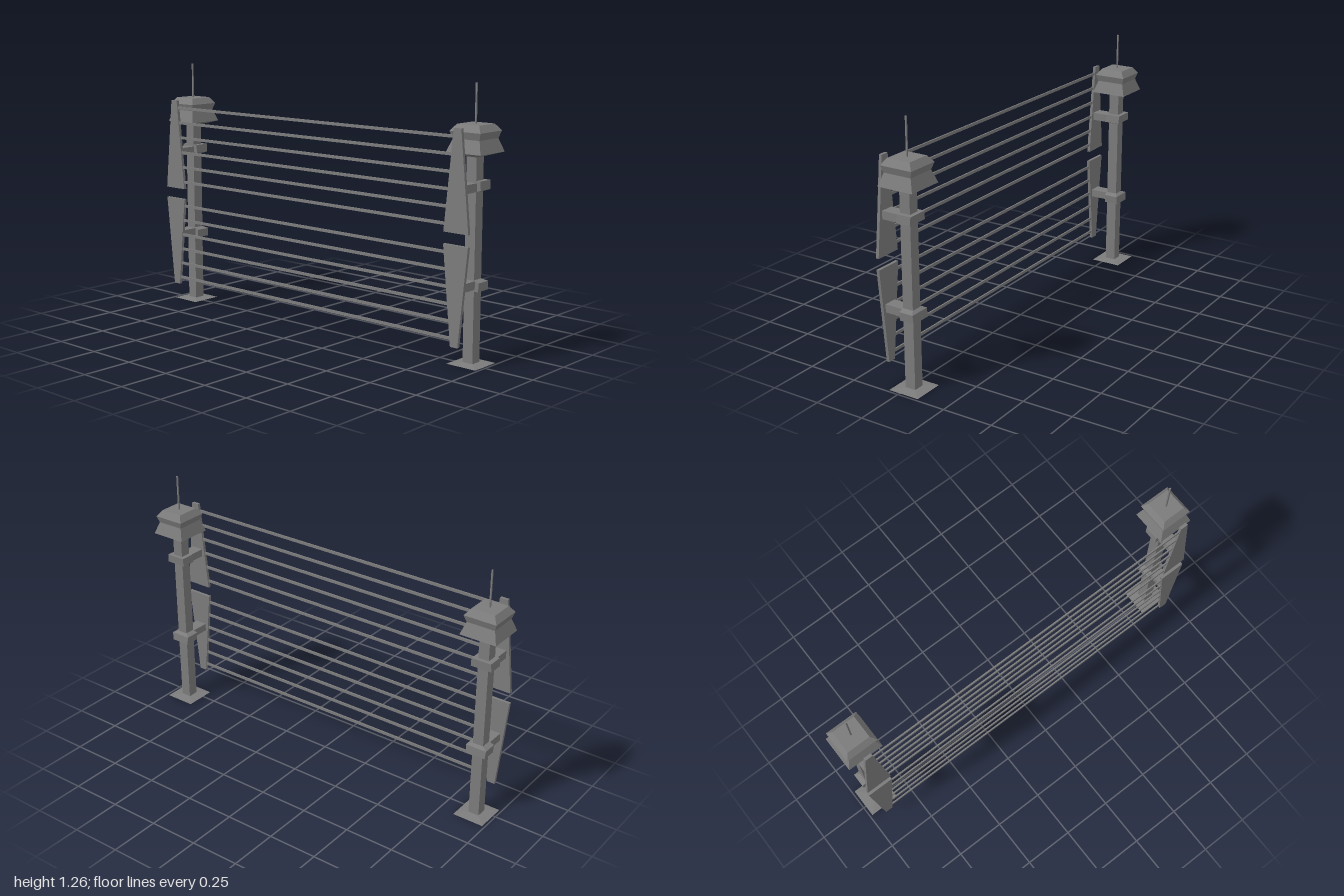
import * as THREE from 'three';

const material = new THREE.MeshStandardMaterial({ color: 0x7b7b7b, flatShading: true });

// Closed solid through rectangular sections [y, x0, x1, halfDepth], listed bottom to top
function loft(name, sections) {
  const pos = [];
  const rings = sections.map(([y, x0, x1, d]) => [[x0, y, d], [x1, y, d], [x1, y, -d], [x0, y, -d]]);
  const quad = (a, b, c, d) => pos.push(...a, ...b, ...c, ...a, ...c, ...d);
  for (let i = 0; i < rings.length - 1; i++) {
    const lo = rings[i], hi = rings[i + 1];
    for (let k = 0; k < 4; k++) {
      const n = (k + 1) % 4;
      quad(lo[k], lo[n], hi[n], hi[k]);
    }
  }
  quad(...rings[rings.length - 1]);
  quad(...[...rings[0]].reverse());
  const geometry = new THREE.BufferGeometry();
  geometry.setAttribute('position', new THREE.Float32BufferAttribute(pos, 3));
  geometry.computeVertexNormals();
  const mesh = new THREE.Mesh(geometry, material);
  mesh.name = name;
  return mesh;
}

const POST_X = 0.021, POST_Z = 0.908, HALF = 0.027;
const MID_Y = 0.59; // the two brackets and panels mirror about this height
const square = (y, h) => [y, POST_X - h, POST_X + h, h];
const flip = (sections) => sections.map(([y, ...rest]) => [2 * MID_Y - y, ...rest]).reverse();

function createPylon() {
  const pylon = new THREE.Group();
  pylon.name = 'pylon';

  // Foot, column, flared cap and antenna
  pylon.add(
    loft('foot', [square(0, 0.079), square(0.007, HALF)]),
    loft('column', [square(0.002, HALF), square(0.95, HALF)]),
    loft('cap', [
      square(0.942, HALF), square(0.962, 0.092), square(1.022, 0.071),
      square(1.055, 0.082), square(1.086, 0.059),
    ]),
    loft('antenna', [square(1.08, 0.0035), square(1.264, 0.0035)]),
  );

  // Collar, arm and tapered panel of the upper half, flipped for the lower half
  const parts = {
    Collar: [
      [0.787, POST_X - HALF, POST_X + HALF, HALF],
      [0.797, -0.007, 0.065, 0.053],
      [0.838, -0.007, 0.068, 0.05],
    ],
    Arm: [[0.79, -0.101, 0, 0.032], [0.829, -0.101, 0, 0.032]],
    Panel: [[0.617, -0.114, -0.099, 0.067], [1.078, -0.114, -0.099, 0.02]],
  };
  for (const [name, sections] of Object.entries(parts)) {
    pylon.add(loft('upper' + name, sections), loft('lower' + name, flip(sections)));
  }
  return pylon;
}

export function createModel() {
  const model = new THREE.Group();
  model.name = 'fence';

  // One pylon at each end
  for (const side of [1, -1]) {
    const pylon = createPylon();
    pylon.position.z = side * POST_Z;
    model.add(pylon);
  }

  // Two banks of six rails between the panels
  const railGeometry = new THREE.BoxGeometry(0.007, 0.014, 2 * POST_Z);
  for (const start of [0.139, 0.653]) {
    for (let i = 0; i < 6; i++) {
      const rail = new THREE.Mesh(railGeometry, material);
      rail.name = 'rail';
      rail.position.set(-0.107, start + i * 0.0775, 0);
      model.add(rail);
    }
  }
  return model;
}
